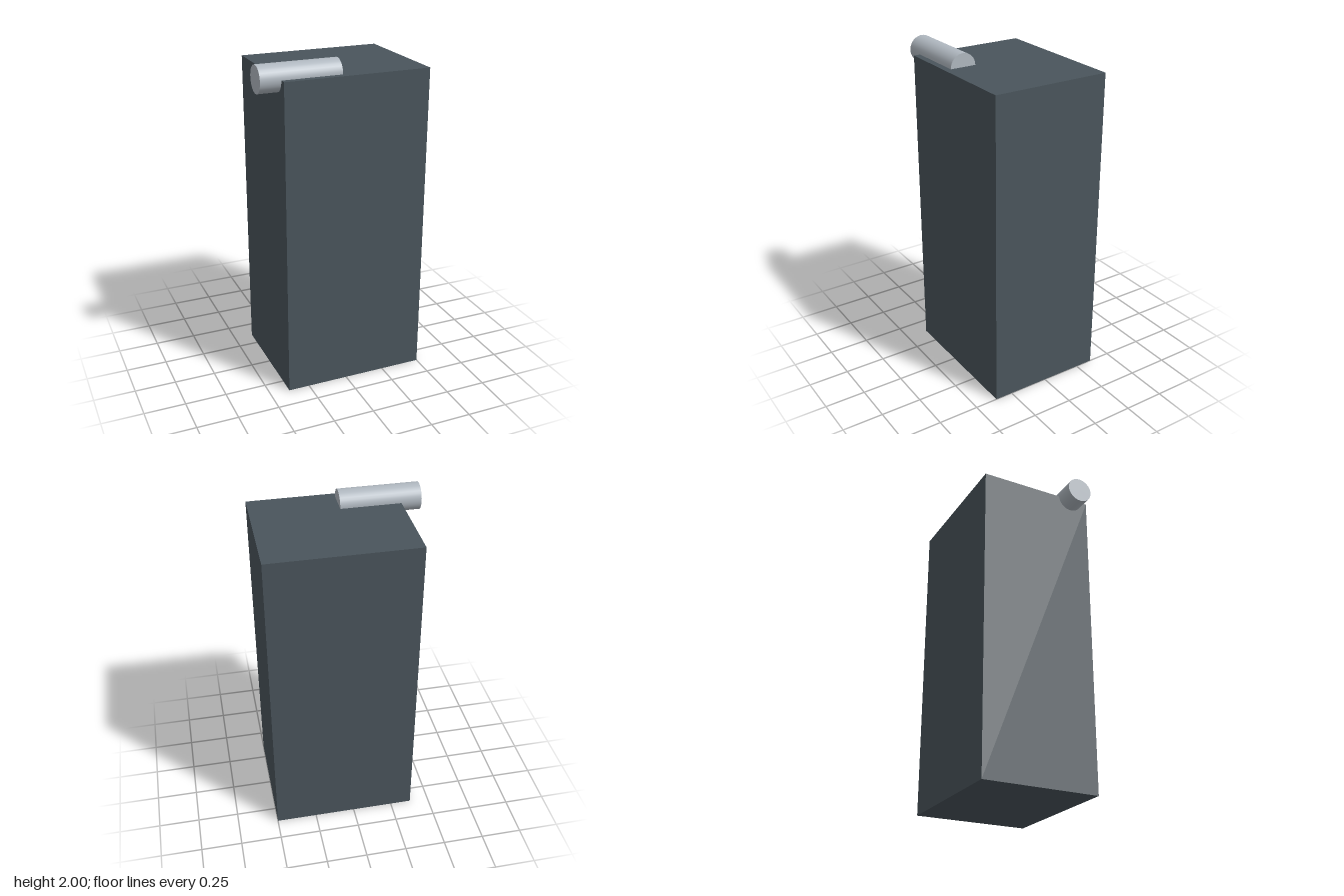
import * as THREE from 'three';

export function createModel() {
  const model = new THREE.Group();
  model.name = 'cabinetWithBar';

  // Tall cabinet body
  const body = new THREE.Mesh(
    new THREE.BoxGeometry(0.88, 1.92, 0.72),
    new THREE.MeshStandardMaterial({ color: 0x4a555c })
  );
  body.name = 'body';
  body.position.set(0.06, 0.96, 0);
  model.add(body);

  // Round bar half sunk into the top, overhanging the right side
  const bar = new THREE.Mesh(
    new THREE.CylinderGeometry(0.08, 0.08, 0.48, 32),
    new THREE.MeshStandardMaterial({ color: 0xb0b8c0 })
  );
  bar.name = 'bar';
  bar.rotation.z = Math.PI / 2;
  bar.position.set(-0.26, 1.92, 0.24);
  model.add(bar);

  return model;
}
